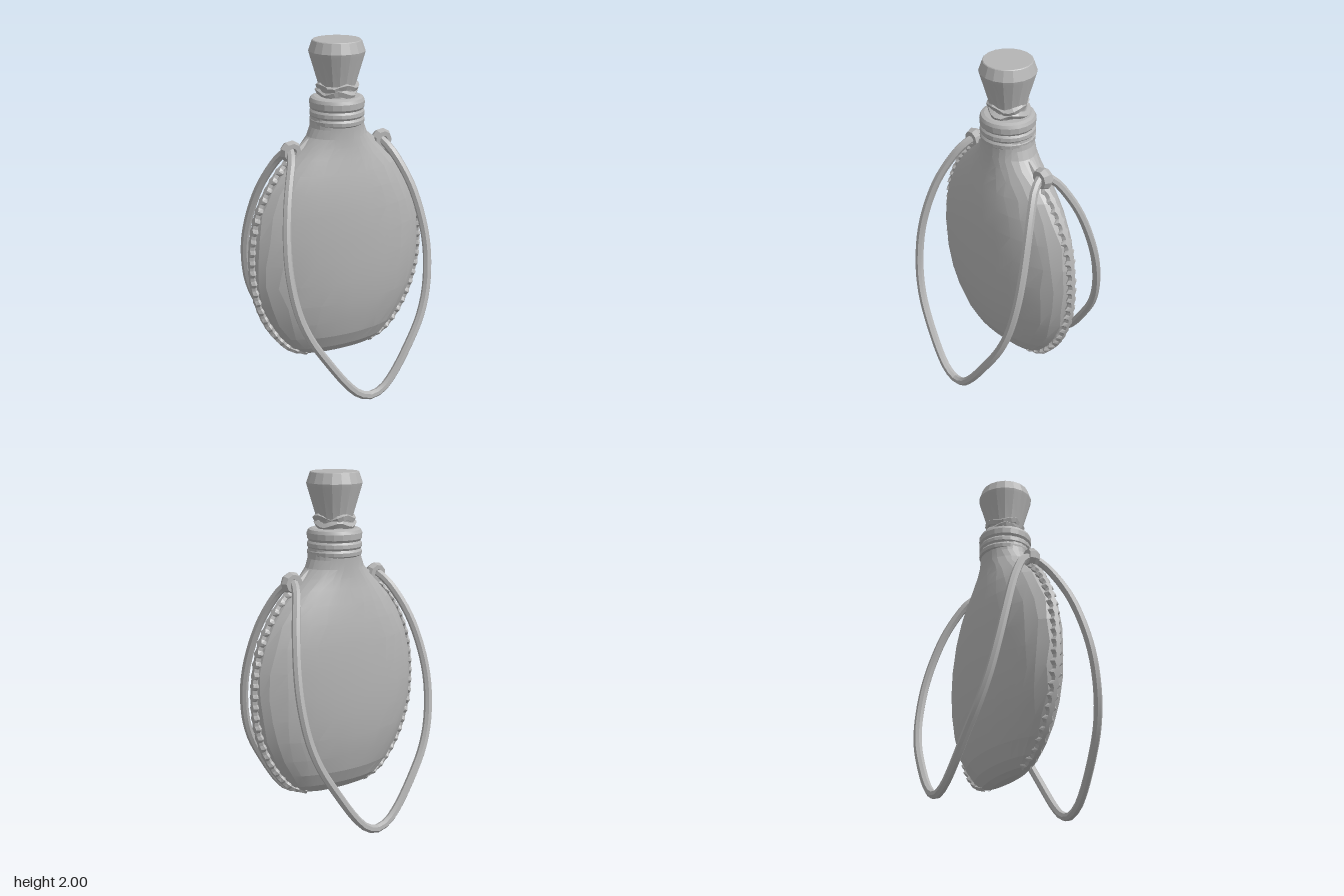
import * as THREE from 'three';
import { toCreasedNormals } from 'three/addons/utils/BufferGeometryUtils.js';

const grey = new THREE.MeshStandardMaterial({ color: 0xb4b4b4 });
grey.name = 'plain grey';

// small seeded wobble for hand-made irregularity
let seed = 7;
const rand = () => (seed = (seed * 16807) % 2147483647) / 2147483647 - 0.5;

function add(parent, name, geometry, crease = 0.5) {
  const mesh = new THREE.Mesh(toCreasedNormals(geometry, crease), grey);
  mesh.name = name;
  parent.add(mesh);
  return mesh;
}

const curveOf = (points) => new THREE.CatmullRomCurve3(points.map((p) => new THREE.Vector3(...p)));
const profileOf = (points) => points.map((p) => new THREE.Vector2(...p));

// lens-shaped rings [y, half width, half depth, sharpness] joined from bottom to top
function loft(rows, sides) {
  const pos = [], index = [];
  for (const [y, w, d, sharp] of rows) {
    for (let i = 0; i < sides; i++) {
      const onEdge = i % (sides / 2) === 0;
      const a = ((i + (onEdge ? 0 : rand() * 0.5)) / sides) * Math.PI * 2;
      const s = onEdge ? 0 : Math.sin(a);
      pos.push(Math.cos(a) * w, y, Math.sign(s) * Math.abs(s) ** sharp * d);
    }
  }
  for (let r = 0; r < rows.length - 1; r++) {
    for (let i = 0; i < sides; i++) {
      const a = r * sides + i, b = r * sides + ((i + 1) % sides);
      index.push(a, a + sides, b, b, a + sides, b + sides);
    }
  }
  const base = pos.length / 3;
  pos.push(0, rows[0][0], 0);
  for (let i = 0; i < sides; i++) index.push(base, i, (i + 1) % sides);
  const g = new THREE.BufferGeometry();
  g.setAttribute('position', new THREE.Float32BufferAttribute(pos, 3));
  g.setIndex(index);
  return g;
}

// tube whose thickness in z swells at every third ring into lacing teeth
function lacedTube(path, rings, radius) {
  const sides = 6;
  const g = new THREE.TubeGeometry(path, rings, radius, sides);
  const p = g.attributes.position;
  for (let r = 0; r <= rings; r++) {
    const swell = r > 8 && r % 3 === 0 ? 1.9 + rand() * 0.5 : 1;
    for (let i = 0; i <= sides; i++) {
      const k = r * (sides + 1) + i;
      p.setZ(k, p.getZ(k) * swell);
    }
  }
  return g;
}

export function createModel() {
  const model = new THREE.Group();
  model.name = 'flask';

  // flattened leather body running up into a round neck
  add(model, 'body', loft([
    [0.157, 0.15, 0.025, 1], [0.175, 0.235, 0.06, 1], [0.22, 0.305, 0.1, 1.1], [0.3, 0.378, 0.142, 1.15],
    [0.4, 0.442, 0.171, 1.15], [0.52, 0.497, 0.193, 1.15], [0.65, 0.527, 0.205, 1.15], [0.78, 0.536, 0.21, 1.15],
    [0.92, 0.527, 0.209, 1.15], [1.06, 0.491, 0.203, 1.15], [1.18, 0.435, 0.19, 1.15], [1.28, 0.364, 0.173, 1.1],
    [1.36, 0.285, 0.156, 1.05], [1.42, 0.22, 0.146, 1], [1.47, 0.178, 0.142, 1], [1.52, 0.157, 0.141, 1],
    [1.58, 0.15, 0.143, 1],
  ], 28), 0.16);

  // bound rings and collar around the mouth
  const mouth = profileOf([
    [0.14, 1.53], [0.153, 1.54], [0.155, 1.56], [0.147, 1.573], [0.155, 1.585], [0.154, 1.605],
    [0.146, 1.617], [0.155, 1.63], [0.156, 1.662], [0.148, 1.68], [0.13, 1.688], [0, 1.69],
  ]);
  add(model, 'neckCollar', new THREE.LatheGeometry(mouth, 20), 0.3);

  // crumpled cord under the stopper
  const wrap = new THREE.Group();
  wrap.name = 'stopperCord';
  model.add(wrap);
  for (const [y, phase] of [[1.708, 0], [1.745, 1.6]]) {
    const pts = [];
    for (let i = 0; i < 16; i++) {
      const a = (i / 16) * Math.PI * 2;
      const r = 0.092 + rand() * 0.022;
      pts.push([Math.cos(a) * r, y + Math.sin(a * 4 + phase) * 0.011, Math.sin(a) * r]);
    }
    const path = curveOf(pts);
    path.closed = true;
    add(wrap, 'cordTurn', new THREE.TubeGeometry(path, 28, 0.023, 5, true), 0.2);
  }

  // flared stopper
  const stopper = profileOf([
    [0, 1.68], [0.095, 1.69], [0.108, 1.765], [0.154, 1.92], [0.158, 1.938], [0.138, 1.996], [0.134, 2], [0, 2],
  ]);
  add(model, 'stopper', new THREE.LatheGeometry(stopper, 18), 0.3);

  // laced seam down each edge
  const edge = [
    [0.175, 1.45], [0.225, 1.41], [0.295, 1.352], [0.37, 1.28], [0.442, 1.175], [0.5, 1.05], [0.532, 0.9],
    [0.54, 0.75], [0.525, 0.6], [0.47, 0.43], [0.39, 0.3], [0.31, 0.22], [0.2, 0.175],
  ];
  for (const side of [1, -1]) {
    const path = curveOf(edge.map(([x, y]) => [x * side, y, 0]));
    add(model, side > 0 ? 'leftSeam' : 'rightSeam', lacedTube(path, 76, 0.021), 0.2);

    // knotted eyelet on the shoulder
    const knot = add(model, side > 0 ? 'leftKnot' : 'rightKnot', new THREE.TorusGeometry(0.038, 0.027, 6, 9), 0.3);
    knot.position.set(0.29 * side, 1.4, 0);
    knot.scale.z = 1.3;
  }

  // one hanging strap in front, one behind, each a little wider on the right
  const half = [
    [0.29, 1.405, 0.01], [0.312, 1.365, 0.07], [0.355, 1.27, 0.132], [0.398, 1.14, 0.193], [0.432, 0.95, 0.255],
    [0.438, 0.78, 0.298], [0.41, 0.58, 0.338], [0.355, 0.43, 0.366], [0.27, 0.29, 0.388], [0.14, 0.11, 0.406], [0.07, 0.047, 0.41],
  ];
  for (const face of [1, -1]) {
    const right = half.map(([x, y, z]) => [-x * 1.025, y, z * face]);
    const left = half.map(([x, y, z]) => [x * 0.975, y, z * face]).reverse();
    const path = curveOf([...right, [0, 0.025, 0.41 * face], ...left]);
    add(model, face > 0 ? 'frontStrap' : 'backStrap', new THREE.TubeGeometry(path, 64, 0.0245, 7), 0.3);
  }

  return model;
}
